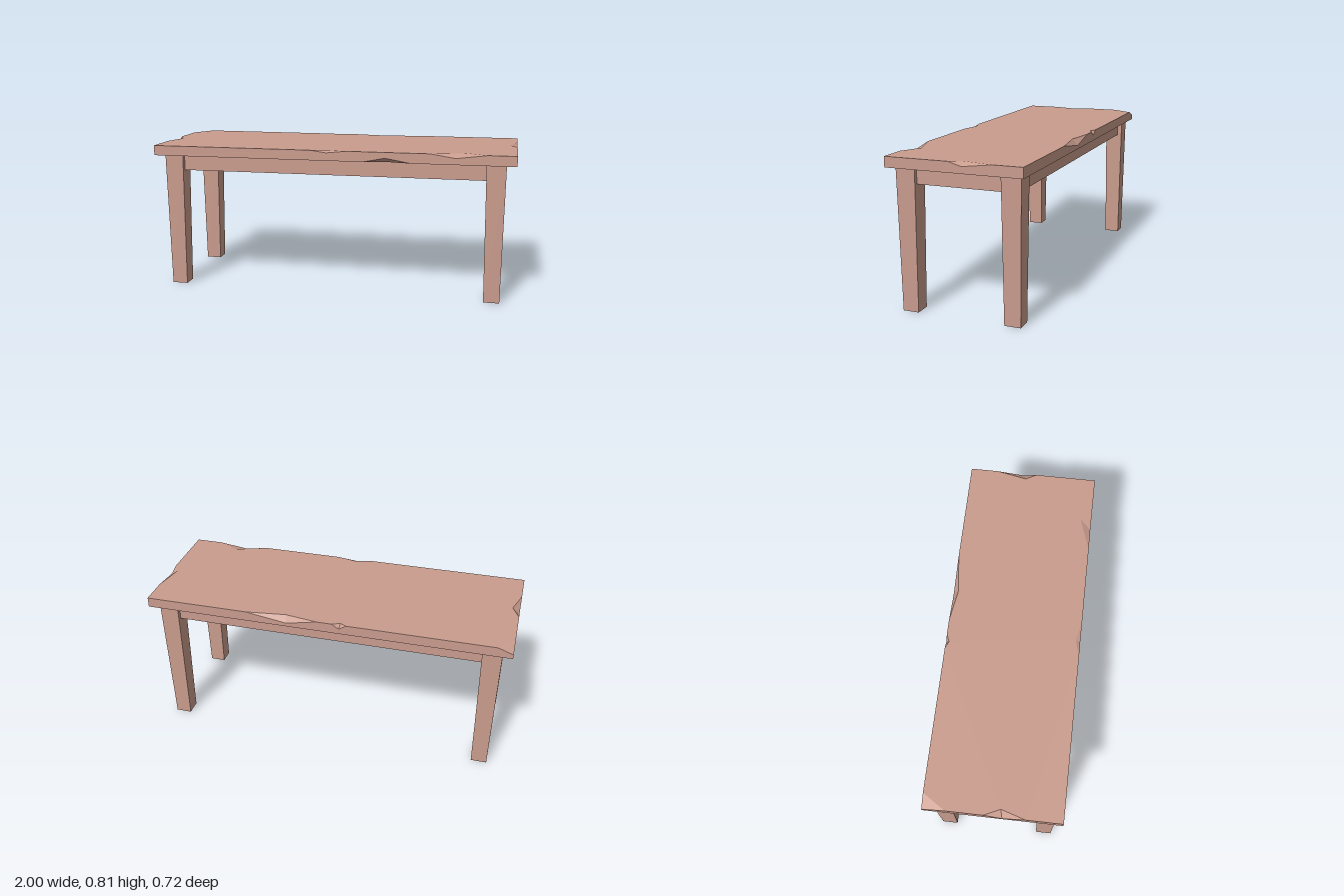
import * as THREE from 'three';

const HX = 1, HZ = 0.362, TOP = 0.81, BASE = 0.755, APRON = 0.667;

// Sides of the slab, walked counter-clockwise from above. Each chip runs from a to b along
// the edge; t/inset is its apex on the flat face, s/drop its apex on the side face.
const sides = [
  { at: (u, i, y) => new THREE.Vector3(u, y, HZ - i), out: [0, 0, 1], from: -HX, to: HX,
    top: [{ a: -0.1, b: 0.1, t: -0.01, inset: 0.025, s: -0.01, drop: 0.012 },
      { a: 0.55, b: 0.85, t: 0.735, inset: 0.062, s: 0.685, drop: 0.021 }],
    bottom: [{ a: 0.19, b: 0.45, t: 0.31, inset: 0.03, s: 0.31, drop: 0.024 }] },
  { at: (u, i, y) => new THREE.Vector3(HX - i, y, u), out: [1, 0, 0], from: HZ, to: -HZ,
    top: [{ a: 0.02, b: -0.21, t: -0.04, inset: 0.034, s: -0.05, drop: 0.02 }], bottom: [] },
  { at: (u, i, y) => new THREE.Vector3(u, y, -HZ + i), out: [0, 0, -1], from: HX, to: -HX,
    topTo: -0.92, endDrop: 0.03,
    top: [{ a: 0.43, b: 0.03, t: 0.21, inset: 0.028, s: 0.2, drop: 0.035 },
      { a: -0.05, b: -0.13, t: -0.095, inset: 0.018, s: -0.09, drop: 0.025 }], bottom: [] },
  { at: (u, i, y) => new THREE.Vector3(-HX + i, y, u), out: [-1, 0, 0], from: -HZ, to: HZ,
    topFrom: -0.24, startDrop: 0.03,
    top: [{ a: -0.045, b: 0.17, t: 0.04, inset: 0.04, s: 0.05, drop: 0.04 }], bottom: [] },
];

// Slab with chipped edges, assembled from flat polygons
function chippedSlab() {
  const pos = [];
  const face = (pts, out) => {
    const n = new THREE.Vector3(...out);
    const flat = pts.map((p) => (Math.abs(n.y) > 0.9 ? new THREE.Vector2(p.x, p.z)
      : Math.abs(n.x) > 0.9 ? new THREE.Vector2(p.z, p.y) : new THREE.Vector2(p.x, p.y)));
    for (const tri of THREE.ShapeUtils.triangulateShape(flat, [])) triangle(...tri.map((i) => pts[i]), n);
  };
  const triangle = (a, b, c, n) => {
    const cross = b.clone().sub(a).cross(c.clone().sub(a));
    const order = cross.dot(n) > 0 ? [a, b, c] : [a, c, b];
    order.forEach((p) => pos.push(p.x, p.y, p.z));
  };
  const topRing = [], bottomRing = [];
  for (const s of sides) {
    const upper = [s.at(s.topFrom ?? s.from, 0, TOP)];
    const lower = [s.at(s.from, 0, BASE)];
    topRing.push(upper[0]);
    bottomRing.push(lower[0]);
    const carve = (chips, y, dir, ring, edge) => {
      for (const c of chips) {
        const A = s.at(c.a, 0, y), B = s.at(c.b, 0, y);
        const T = s.at(c.t, c.inset, y), S = s.at(c.s, 0, y - dir * c.drop);
        ring.push(A, T, B);
        edge.push(A, S, B);
        const n = new THREE.Vector3(s.out[0], dir, s.out[2]);
        triangle(A, S, T, n);
        triangle(S, B, T, n);
      }
    };
    carve(s.top, TOP, 1, topRing, upper);
    carve(s.bottom, BASE, -1, bottomRing, lower);
    upper.push(s.at(s.topTo ?? s.to, 0, TOP));
    lower.push(s.at(s.to, 0, BASE));
    if (s.topTo !== undefined) topRing.push(upper[upper.length - 1]);
    if (s.endDrop) upper.push(s.at(s.to, 0, TOP - s.endDrop));
    if (s.startDrop) upper.unshift(s.at(s.from, 0, TOP - s.startDrop));
    face([...lower, ...upper.reverse()], s.out);
  }
  face(topRing, [0, 1, 0]);
  face(bottomRing, [0, -1, 0]);
  // broken corner
  triangle(new THREE.Vector3(-0.92, TOP, -HZ), new THREE.Vector3(-HX, TOP, -0.24),
    new THREE.Vector3(-HX, TOP - 0.03, -HZ), new THREE.Vector3(-1, 1, -1));
  const geo = new THREE.BufferGeometry();
  geo.setAttribute('position', new THREE.Float32BufferAttribute(pos, 3));
  geo.computeVertexNormals();
  return geo;
}

// Square leg narrowing toward the floor
function taperedLeg() {
  const geo = new THREE.BoxGeometry(0.104, BASE, 0.104);
  const p = geo.attributes.position;
  for (let i = 0; i < p.count; i++) {
    if (p.getY(i) < 0) p.setXYZ(i, p.getX(i) * 0.83, p.getY(i), p.getZ(i) * 0.83);
  }
  geo.translate(0, BASE / 2, 0);
  geo.computeVertexNormals();
  return geo;
}

export function createModel() {
  const model = new THREE.Group();
  model.name = 'table';
  const wood = new THREE.MeshStandardMaterial({ color: 0xc99c8d });
  wood.name = 'wood';
  wood.flatShading = true;
  const add = (name, geo, x = 0, y = 0, z = 0) => {
    const mesh = new THREE.Mesh(geo, wood);
    mesh.name = name;
    mesh.position.set(x, y, z);
    model.add(mesh);
  };

  add('tabletop', chippedSlab());
  add('apron', new THREE.BoxGeometry(1.85, BASE - APRON, 0.61), 0, (BASE + APRON) / 2, 0);

  const leg = taperedLeg();
  for (const [xName, x] of [['Left', 1], ['Right', -1]]) {
    for (const [zName, z] of [['front', 1], ['back', -1]]) {
      add(`${zName}${xName}Leg`, leg, x * 0.895, 0, z * 0.279);
    }
  }
  return model;
}
